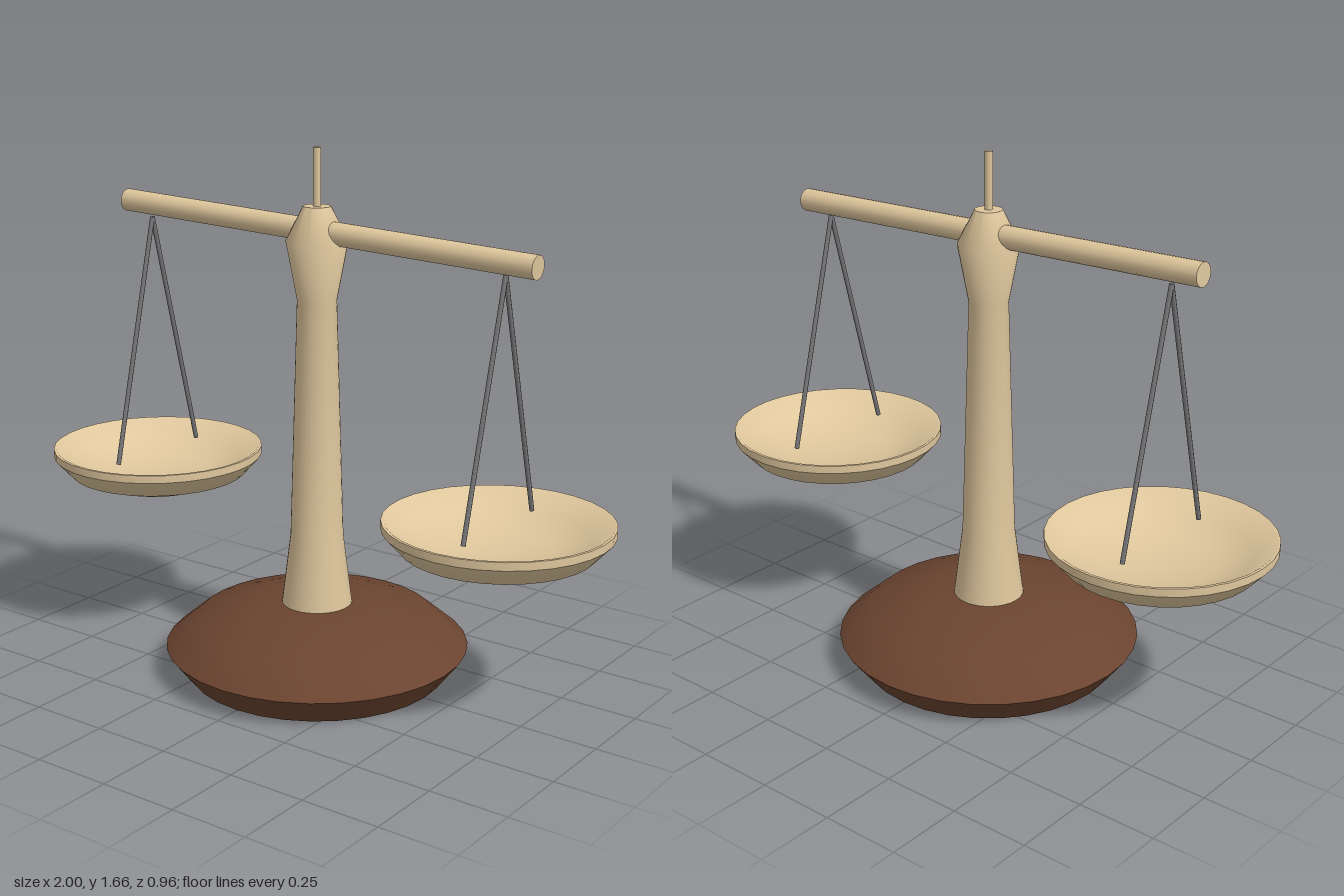
import * as THREE from 'three';
import { toCreasedNormals } from 'three/addons/utils/BufferGeometryUtils.js';

export function createModel() {
  const group = new THREE.Group();
  const material = (name, color) => {
    const m = new THREE.MeshStandardMaterial({ color });
    m.name = name;
    return m;
  };
  const paleWood = material('pale wood', 0xdfc79d);
  const darkWood = material('dark wood', 0x6b4430);
  const metal = material('grey metal', 0x777777);

  const add = (name, geometry, mat) => {
    const mesh = new THREE.Mesh(geometry, mat);
    mesh.name = name;
    group.add(mesh);
    return mesh;
  };

  // Turned part from [radius, height] pairs, sharp only at strong creases
  const turned = (profile) => toCreasedNormals(
    new THREE.LatheGeometry(profile.map(([r, y]) => new THREE.Vector2(r, y)), 32), 0.7);

  // Round bar between two points
  const bar = (name, from, to, radius, sides, mat) => {
    const a = new THREE.Vector3(...from), b = new THREE.Vector3(...to);
    const dir = b.clone().sub(a);
    const mesh = add(name, new THREE.CylinderGeometry(radius, radius, dir.length(), sides), mat);
    mesh.position.copy(a).add(b).multiplyScalar(0.5);
    mesh.quaternion.setFromUnitVectors(new THREE.Vector3(0, 1, 0), dir.normalize());
    return mesh;
  };

  // Base and column
  add('base', turned([[0, 0], [0.41, 0], [0.48, 0.09], [0.38, 0.175], [0.2, 0.225], [0, 0.225]]), darkWood);
  add('column', turned([[0, 0.2], [0.114, 0.2], [0.083, 0.45], [0.061, 1.2],
    [0.095, 1.38], [0.042, 1.485], [0, 1.485]]), paleWood);
  bar('finial', [0, 1.45, 0], [0, 1.66, 0], 0.0125, 8, paleWood);

  // Slightly tilted beam
  bar('beam', [-0.757, 1.435, 0], [0.757, 1.385, 0], 0.036, 16, paleWood);

  // Hanging pans with a pair of rods each
  const pan = turned([[0, 0.505], [0.19, 0.505], [0.29, 0.54], [0.344, 0.6], [0.344, 0.625],
    [0.335, 0.625], [0.27, 0.575], [0.17, 0.54], [0, 0.53]]);
  for (const side of [-1, 1]) {
    const x = side * 0.655;
    const label = side > 0 ? 'left' : 'right';
    add(label + 'Pan', pan, paleWood).position.x = x;
    for (const z of [-0.195, 0.195]) {
      bar(label + 'PanRod', [x, 1.37 - side * 0.018, 0], [x, 0.605, z], 0.0075, 8, metal);
    }
  }
  return group;
}
